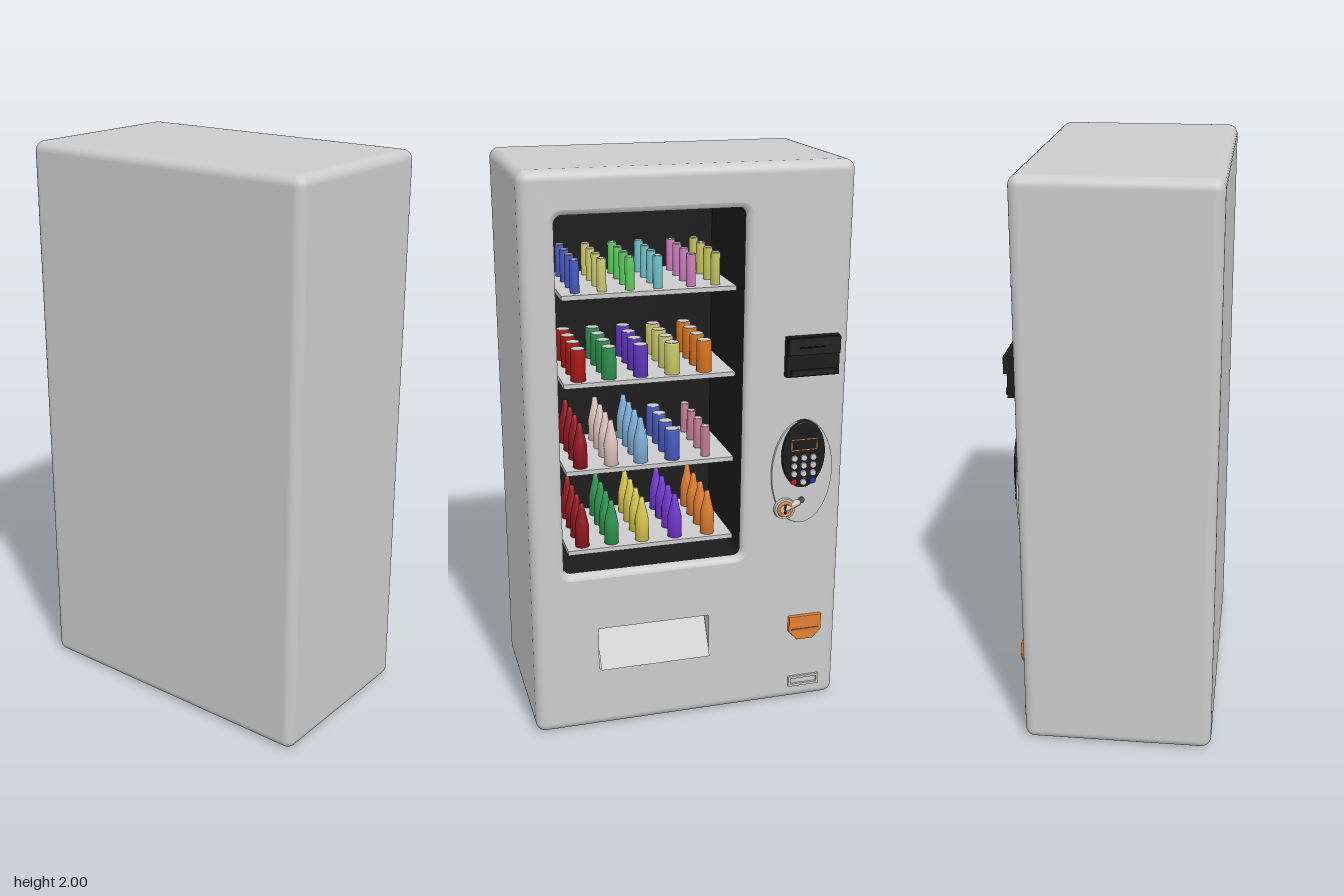
import * as THREE from 'three';
import { RoundedBoxGeometry } from 'three/addons/geometries/RoundedBoxGeometry.js';

const FRONT = 0.31, BACK = -0.35, HALF = 0.565, R = 0.035;
const GREY = 0xcccccc, DARK = 0x1b1b1b, ORANGE = 0xe08030;

const materials = new Map();
function mat(color, side = THREE.FrontSide) {
  const key = color + '/' + side;
  if (!materials.has(key)) materials.set(key, new THREE.MeshStandardMaterial({ color, side }));
  return materials.get(key);
}

function add(parent, name, geometry, color, x = 0, y = 0, z = 0, side) {
  const mesh = new THREE.Mesh(geometry, mat(color, side));
  mesh.name = name;
  mesh.position.set(x, y, z);
  parent.add(mesh);
  return mesh;
}

// Box given by its limits
function block(parent, name, x0, x1, y0, y1, z0, z1, color, side) {
  const geometry = new THREE.BoxGeometry(x1 - x0, y1 - y0, z1 - z0);
  return add(parent, name, geometry, color, (x0 + x1) / 2, (y0 + y1) / 2, (z0 + z1) / 2, side);
}

// Rounded rectangle, optionally grown by e
function roundRect(x0, x1, y0, y1, r, e = 0) {
  x0 -= e; x1 += e; y0 -= e; y1 += e; r += e;
  const s = new THREE.Shape();
  s.absarc(x1 - r, y0 + r, r, -Math.PI / 2, 0);
  s.absarc(x1 - r, y1 - r, r, 0, Math.PI / 2);
  s.absarc(x0 + r, y1 - r, r, Math.PI / 2, Math.PI);
  s.absarc(x0 + r, y0 + r, r, Math.PI, Math.PI * 1.5);
  s.closePath();
  return s;
}

function ellipse(rx, ry) {
  return new THREE.Shape().absellipse(0, 0, rx, ry, 0, Math.PI * 2);
}

// Inward-facing tube joining equal outlines at [shape, z]
function lining(rings) {
  const pos = [], index = [];
  let n = 0;
  for (const [shape, z] of rings) {
    const pts = shape.getPoints(6);
    n = pts.length;
    for (const p of pts) pos.push(p.x, p.y, z);
  }
  for (let k = 0; k < rings.length - 1; k++) {
    for (let i = 0; i < n; i++) {
      const a = k * n + i, b = k * n + (i + 1) % n;
      index.push(a, b, a + n, b, b + n, a + n);
    }
  }
  const g = new THREE.BufferGeometry();
  g.setAttribute('position', new THREE.Float32BufferAttribute(pos, 3));
  g.setIndex(index);
  g.computeVertexNormals();
  return g;
}

// Raised plate with a small bevel, from z = 0 to z = depth
function plate(shape, depth, bevel = 0.003) {
  const g = new THREE.ExtrudeGeometry(shape, {
    depth: depth - bevel, bevelSize: bevel, bevelThickness: bevel,
    bevelOffset: -bevel, bevelSegments: 2, curveSegments: 24,
  });
  return g;
}

// Rounded cabinet with its flat front face left out
function cabinetShell() {
  const g = new RoundedBoxGeometry(HALF * 2, 2, FRONT - BACK, 4, R);
  const src = g.attributes.position, nor = g.attributes.normal;
  const limit = (FRONT - BACK) / 2 - 1e-5;
  const pos = [], normals = [];
  for (let i = 0; i < src.count; i += 3) {
    if ([0, 1, 2].every((k) => src.getZ(i + k) > limit)) continue;
    for (let k = 0; k < 3; k++) {
      pos.push(src.getX(i + k), src.getY(i + k), src.getZ(i + k));
      normals.push(nor.getX(i + k), nor.getY(i + k), nor.getZ(i + k));
    }
  }
  const out = new THREE.BufferGeometry();
  out.setAttribute('position', new THREE.Float32BufferAttribute(pos, 3));
  out.setAttribute('normal', new THREE.Float32BufferAttribute(normals, 3));
  return out;
}

function lathe(points) {
  return new THREE.LatheGeometry(points.map(([x, y]) => new THREE.Vector2(x, y)), 16);
}

export function createModel() {
  const root = new THREE.Group();
  root.name = 'vendingMachine';
  const m = new THREE.Group();
  m.name = 'machine';
  m.rotation.y = Math.PI / 2; // front of the machine looks along +x
  root.add(m);

  // Cabinet and pierced front
  const win = (e) => roundRect(-0.45, 0.19, 0.61, 1.855, 0.025, e);
  const pocket = roundRect(-0.335, 0.07, 0.235, 0.395, 0.004);
  add(m, 'cabinet', cabinetShell(), GREY, 0, 1, (FRONT + BACK) / 2);
  const face = new THREE.Shape();
  const w = HALF - R;
  face.moveTo(-w, R).lineTo(w, R).lineTo(w, 2 - R).lineTo(-w, 2 - R).closePath();
  face.holes.push(win(0.02), pocket);
  add(m, 'frontPanel', new THREE.ShapeGeometry(face, 6), GREY, 0, 0, FRONT);

  // Window edge and dark interior
  const inner = -0.1;
  add(m, 'windowEdge', lining([[win(0.02), FRONT], [win(0.008), 0.306], [win(0.002), 0.298], [win(0), 0.285]]),
    GREY, 0, 0, 0, THREE.DoubleSide);
  add(m, 'interiorWalls', lining([[win(0), 0.285], [win(0), inner]]), DARK, 0, 0, 0, THREE.DoubleSide);
  add(m, 'interiorBack', new THREE.ShapeGeometry(win(0), 6), DARK, 0, 0, inner);

  // Shelves with goods: [kind, x, colour]
  const kinds = {
    slimCan: lathe([[0, 0], [0.016, 0], [0.016, 0.108], [0.014, 0.11], [0, 0.11]]),
    can: lathe([[0, 0], [0.026, 0], [0.026, 0.106], [0.023, 0.11], [0, 0.11]]),
    bottle: lathe([[0, 0], [0.025, 0], [0.025, 0.075], [0.02, 0.1], [0.011, 0.14], [0.008, 0.16], [0, 0.16]]),
  };
  const lidRadius = { slimCan: 0.014, can: 0.023 };
  const shelves = [
    [1.59, [['slimCan', -0.375, 0x4a5cc8], ['slimCan', -0.285, 0xd0d070], ['slimCan', -0.19, 0x60d060],
      ['slimCan', -0.095, 0x70c8d0], ['slimCan', 0.02, 0xd080c0], ['slimCan', 0.105, 0xc8c860]]],
    [1.29, [['can', -0.37, 0xb01818], ['can', -0.265, 0x2f9550], ['can', -0.155, 0x6038c0],
      ['can', -0.045, 0xd0d070], ['can', 0.068, 0xe07820]]],
    [0.98, [['bottle', -0.37, 0x901820], ['bottle', -0.262, 0xe0c8c0], ['bottle', -0.157, 0x80b0d8],
      ['can', -0.045, 0x4a5cc8], ['slimCan', 0.075, 0xc88098]]],
    [0.685, [['bottle', -0.37, 0x901820], ['bottle', -0.265, 0x2f9550], ['bottle', -0.155, 0xd8c850],
      ['bottle', -0.035, 0x7038d0], ['bottle', 0.085, ORANGE]]],
  ];
  for (const [y, goods] of shelves) {
    block(m, 'shelf', -0.427, 0.167, y - 0.016, y, inner, 0.265, GREY);
    for (const [kind, x, color] of goods) {
      for (let row = 0; row < 4; row++) {
        const z = 0.225 - row * 0.088;
        add(m, kind, kinds[kind], color, x, y, z);
        if (lidRadius[kind]) {
          add(m, 'canLid', new THREE.CylinderGeometry(lidRadius[kind], lidRadius[kind], 0.003, 16), GREY, x, y + 0.11, z);
        }
      }
    }
  }

  // Delivery pocket with a sloping flap
  block(m, 'deliveryPocket', -0.335, 0.07, 0.235, 0.395, 0.19, FRONT, GREY, THREE.BackSide);
  const drop = 0.15, reach = 0.085;
  const flap = add(m, 'deliveryFlap', new THREE.PlaneGeometry(0.4, Math.hypot(drop, reach)), GREY,
    -0.1325, 0.317, 0.2925, THREE.DoubleSide);
  flap.rotation.x = -Math.atan2(reach, drop);

  // Banknote reader
  block(m, 'noteReaderBody', 0.33, 0.52, 1.275, 1.415, 0.3, 0.336, DARK);
  block(m, 'noteReaderHood', 0.332, 0.518, 1.355, 1.413, 0.33, 0.348, 0x222222);
  block(m, 'noteReaderLip', 0.345, 0.505, 1.28, 1.3, 0.33, 0.344, 0x222222);
  block(m, 'noteSlot', 0.37, 0.46, 1.378, 1.384, 0.345, 0.35, 0x080808);

  // Oval control panel with keypad and display
  add(m, 'controlPanel', plate(ellipse(0.113, 0.193), 0.01), GREY, 0.405, 0.918, FRONT);
  add(m, 'keypadPlate', plate(ellipse(0.08, 0.124), 0.022, 0.005), DARK, 0.405, 0.988, FRONT);
  const frame = roundRect(-0.048, 0.048, -0.021, 0.021, 0.002);
  frame.holes.push(roundRect(-0.045, 0.045, -0.018, 0.018, 0.001));
  add(m, 'displayFrame', plate(frame, 0.003, 0.0005), ORANGE, 0.405, 1.026, 0.331);
  const button = new THREE.CylinderGeometry(0.011, 0.012, 0.008, 16).rotateX(Math.PI / 2);
  for (let r = 0; r < 4; r++) {
    for (let c = 0; c < 3; c++) {
      const color = r < 3 || c === 1 ? 0xf0f0f0 : c === 0 ? 0xc02020 : 0x2030c0;
      add(m, 'keypadButton', button, color, 0.37 + c * 0.035, 0.977 - r * 0.029 - (r === 3 && c === 1 ? 0.004 : 0), 0.334);
    }
  }

  // Coin inlet with return lever
  const coinDisc = new THREE.CylinderGeometry(0.038, 0.04, 0.012, 24).rotateX(Math.PI / 2);
  add(m, 'coinInlet', coinDisc, GREY, 0.342, 0.787, 0.325);
  add(m, 'coinRing', new THREE.TorusGeometry(0.024, 0.006, 8, 24), ORANGE, 0.342, 0.787, 0.331);
  block(m, 'coinSlot', 0.339, 0.345, 0.77, 0.804, 0.33, 0.336, DARK);
  const lever = add(m, 'returnLever', new THREE.CapsuleGeometry(0.012, 0.045, 4, 12), GREY, 0.368, 0.797, 0.325);
  lever.rotation.z = -1.2;
  add(m, 'returnButton', button, 0x555555, 0.405, 0.813, 0.322);

  // Coin return cup
  const cup = new THREE.Shape();
  cup.moveTo(0.375, 0.35).lineTo(0.375, 0.29).lineTo(0.408, 0.255).lineTo(0.468, 0.255)
    .lineTo(0.5, 0.29).lineTo(0.5, 0.35).closePath();
  add(m, 'coinReturn', plate(cup, 0.015), ORANGE, 0, 0, FRONT);
  block(m, 'coinReturnLip', 0.385, 0.49, 0.296, 0.301, 0.32, 0.328, 0xc06a20);

  // Small framed slot near the floor
  const slot = roundRect(0.382, 0.502, 0.055, 0.097, 0.003);
  slot.holes.push(roundRect(0.392, 0.492, 0.065, 0.087, 0.002));
  add(m, 'lowerSlotFrame', plate(slot, 0.008, 0.002), GREY, 0, 0, FRONT);
  return root;
}
